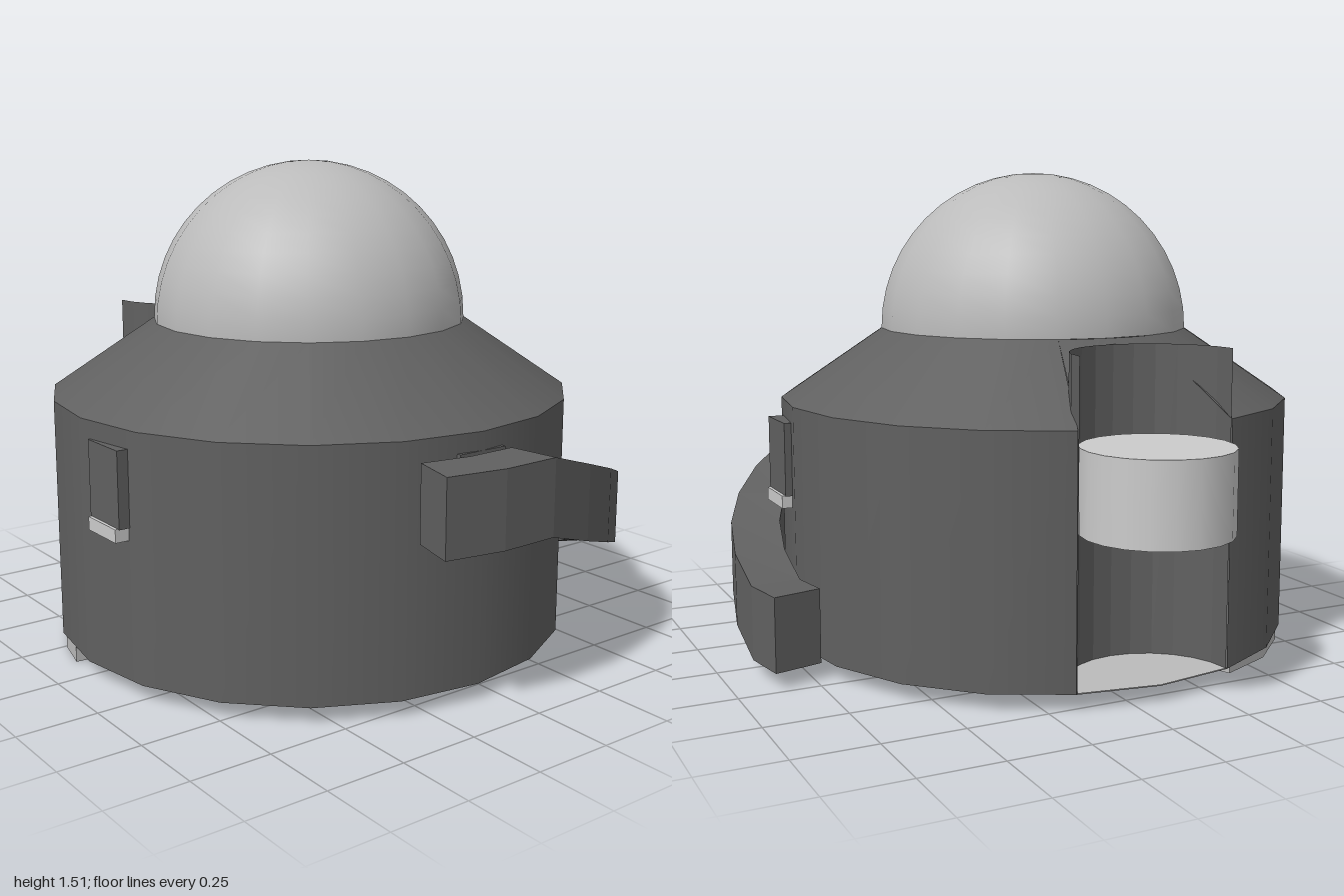
import * as THREE from 'three';

const CX = 0.01, CZ = 0.08;      // axis of the body
const R = 0.82, R_TOP = 0.495;   // body and dome radii
const Y0 = 0.05, Y_SIDE = 0.8, Y_TOP = 1.02;
const RAD = Math.PI / 180;

const mat = (color, extra = {}) => new THREE.MeshStandardMaterial({ color, side: THREE.DoubleSide, ...extra });

export function createModel() {
  const root = new THREE.Group();
  const dark = mat(0x606060), darkFlat = mat(0x606060, { flatShading: true });
  const grey = mat(0xbbbbbb), light = mat(0xcccccc);

  const add = (name, geometry, material, x = CX, y = 0, z = CZ) => {
    const m = new THREE.Mesh(geometry, material);
    m.name = name;
    m.position.set(x, y, z);
    root.add(m);
    return m;
  };
  const box = (name, w, h, d, x, y, z, m) => add(name, new THREE.BoxGeometry(w, h, d), m, x, y, z);

  // Surface through equal rows of points
  const loft = (rows, closed) => {
    const pos = [], n = rows[0].length;
    for (let i = 0; i < rows.length - 1; i++) {
      for (let j = 0; j < (closed ? n : n - 1); j++) {
        const k = (j + 1) % n;
        const [a, b, c, d] = [rows[i][j], rows[i][k], rows[i + 1][k], rows[i + 1][j]];
        pos.push(...a, ...b, ...c, ...a, ...c, ...d);
      }
    }
    if (closed) {
      const [a, b, c, d] = rows[0], [e, f, g, h] = rows[rows.length - 1];
      pos.push(...a, ...c, ...b, ...a, ...d, ...c, ...e, ...f, ...g, ...e, ...g, ...h);
    }
    const geo = new THREE.BufferGeometry();
    geo.setAttribute('position', new THREE.Float32BufferAttribute(pos, 3));
    geo.computeVertexNormals();
    return geo;
  };

  // Body: side wall and shoulder, open over the notch on the -x side
  const start = 288 * RAD, sweep = 324 * RAD;
  add('bodyWall', new THREE.CylinderGeometry(R, R, Y_SIDE - Y0, 18, 1, true, start, sweep), dark, CX, (Y0 + Y_SIDE) / 2);
  add('shoulder', new THREE.CylinderGeometry(R_TOP, R, Y_TOP - Y_SIDE, 18, 1, true, start, sweep), dark, CX, (Y_SIDE + Y_TOP) / 2);
  const base = new THREE.CircleGeometry(R, 20);
  base.rotateX(Math.PI / 2);
  add('base', base, dark, CX, Y0);
  const notchFloor = new THREE.CircleGeometry(0.25, 20, -Math.PI / 2, Math.PI);
  notchFloor.rotateX(-Math.PI / 2);
  // floor also fills the corner out to the rim
  add('notchFloor', notchFloor, grey, CX - 0.78, Y0 + 0.003);
  const rim = new THREE.Shape([[-0.78, -0.25], [-0.82, 0], [-0.78, 0.25]].map(p => new THREE.Vector2(...p)));
  const rimGeo = new THREE.ShapeGeometry(rim);
  rimGeo.rotateX(-Math.PI / 2);
  add('notchFloorRim', rimGeo, grey, CX, Y0 + 0.003);

  // Notch wall and the part of the shoulder that borders it
  const wall = [], patch = [];
  for (let i = 0; i <= 12; i++) {
    const t = (i / 12 - 0.5) * 2, a = t * Math.PI / 2;
    const x = -0.78 + 0.25 * Math.cos(a), z = 0.25 * Math.sin(a);
    const r = Math.hypot(x, z);
    const y = Y_TOP - (r - R_TOP) / (R - R_TOP) * (Y_TOP - Y_SIDE);
    const b = t * 18 * RAD;
    wall.push([[x, Y0, z], [x, 1.005, z]]);
    patch.push([[x, y, z], [-R_TOP * Math.cos(b), Y_TOP, R_TOP * Math.sin(b)]]);
  }
  add('notchWall', loft(wall), dark);
  add('notchShoulder', loft(patch), dark);

  // Dome
  const dome = new THREE.SphereGeometry(R_TOP, 20, 12, 0, Math.PI * 2, 0, Math.PI / 2);
  add('dome', dome, grey, CX, Y_TOP);

  // Round drum standing in the notch, with its axle
  add('drum', new THREE.CylinderGeometry(0.225, 0.225, 0.25, 20), light, -0.775, 0.615);
  box('drumAxle', 0.06, 0.12, 0.12, -0.535, 0.62, CZ, dark);

  // Arm: level, then winding down around the back, then level again
  const angles = [15, 4, -7];
  for (let i = 1; i <= 8; i++) angles.push(-7 - i * 11);
  angles.push(-104);
  const rows = angles.map(deg => {
    const y = 0.51 - 0.46 * THREE.MathUtils.clamp((-7 - deg) / 88, 0, 1);
    const c = Math.cos(deg * RAD), s = Math.sin(deg * RAD);
    return [[0.835, y], [0.99, y], [0.99, y + 0.23], [0.835, y + 0.23]].map(([r, h]) => [r * c, h, r * s]);
  });
  add('spiralArm', loft(rows, true), darkFlat);

  // Latches: a dark plate with a light tab below
  const latch = (x, z, turn) => {
    const g = new THREE.Group();
    g.name = 'latch';
    const plate = new THREE.Mesh(new THREE.BoxGeometry(0.17, 0.23, 0.06), darkFlat);
    plate.name = 'latchPlate';
    plate.position.y = 0.63;
    const tab = new THREE.Mesh(new THREE.BoxGeometry(0.16, 0.04, 0.07), light);
    tab.name = 'latchTab';
    tab.position.set(0, 0.497, 0.005);
    g.add(plate, tab);
    g.position.set(x, 0, z);
    g.rotation.y = turn;
    root.add(g);
  };
  latch(0.14, 0.87, 0);
  latch(0.14, -0.725, Math.PI);
  latch(0.8, CZ, Math.PI / 2);

  // Wedge foot under the base, its underside rising towards -x
  const s = new THREE.Shape();
  s.moveTo(-0.03, 0.12);
  s.lineTo(-0.05, 0.2);
  for (const deg of [99, 108, 126, 144, 160]) s.lineTo(CX + 0.81 * Math.cos(deg * RAD), CZ + 0.81 * Math.sin(deg * RAD));
  s.lineTo(-0.1, 0.13);
  const foot = new THREE.ExtrudeGeometry(s, { depth: 0.05, bevelEnabled: false });
  foot.rotateX(Math.PI / 2);
  foot.translate(0, Y0, 0);
  const p = foot.attributes.position;
  for (let i = 0; i < p.count; i++) {
    if (p.getY(i) < 0.02) p.setY(i, Math.max(0, (-p.getX(i) - 0.5) * 0.11));
  }
  foot.computeVertexNormals();
  add('wedgeFoot', foot, [dark, grey], 0, 0, 0);

  // Small plates set into the base
  box('basePlate', 0.14, 0.01, 0.1, 0.45, 0.053, -0.31, grey);
  box('basePlate', 0.1, 0.01, 0.12, 0.31, 0.053, 0.01, grey);

  return root;
}
